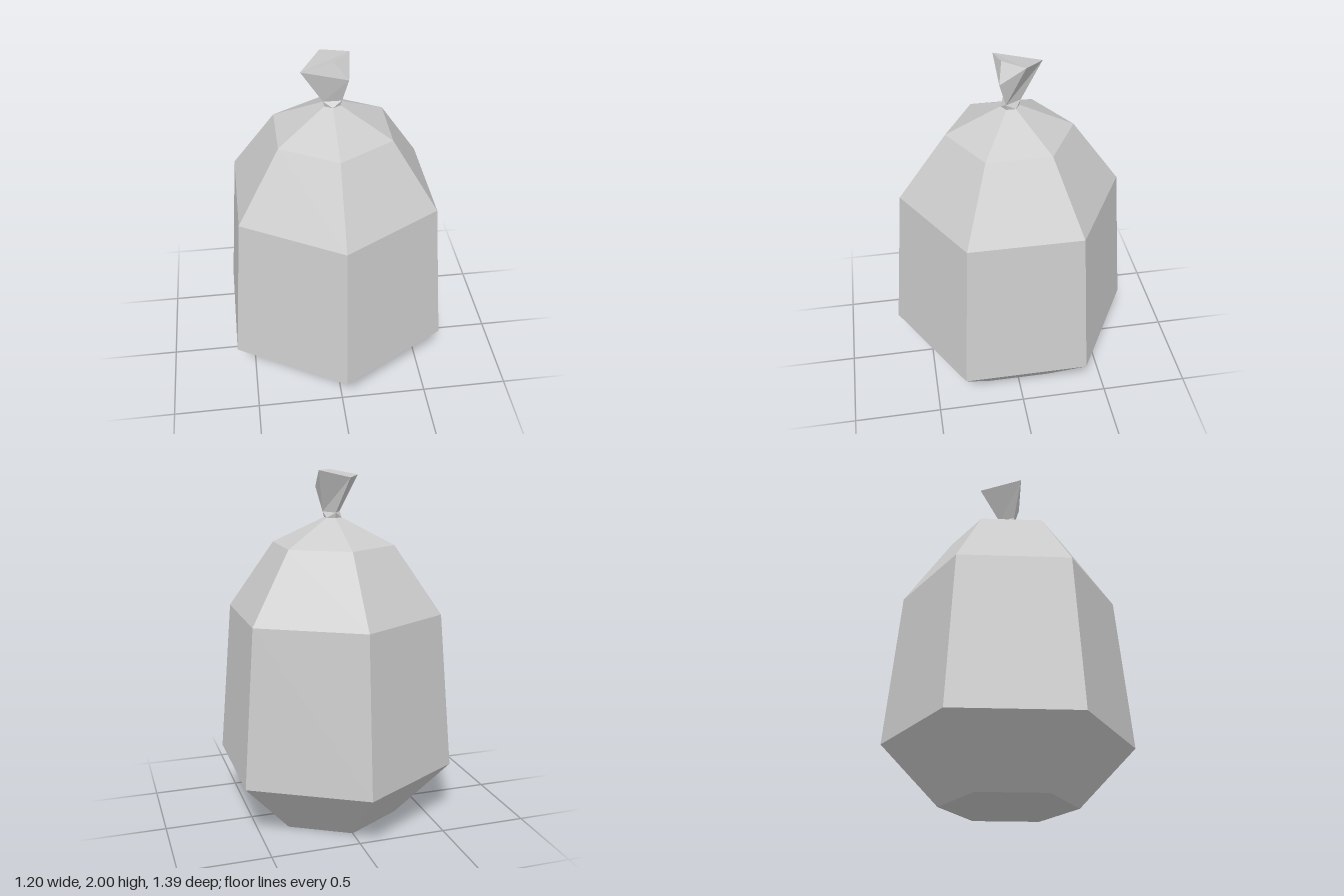
import * as THREE from 'three';

const material = new THREE.MeshStandardMaterial({ color: 0xcccccc, flatShading: true, side: THREE.DoubleSide });

function addPart(group, name, geometry) {
  const mesh = new THREE.Mesh(geometry, material);
  mesh.name = name;
  group.add(mesh);
}

// Faceted geometry from corner points and convex faces (counter-clockwise from outside)
function facetGeometry(points, faces) {
  const positions = [];
  for (const face of faces) {
    for (let i = 1; i < face.length - 1; i++) {
      positions.push(...points[face[0]], ...points[face[i]], ...points[face[i + 1]]);
    }
  }
  const geometry = new THREE.BufferGeometry();
  geometry.setAttribute('position', new THREE.Float32BufferAttribute(positions, 3));
  geometry.computeVertexNormals();
  return geometry;
}

export function createModel() {
  const group = new THREE.Group();
  group.name = 'tiedSack';

  // Six-sided body, closed underneath
  const profile = [[0, 0], [0.375, 0], [0.693, 0.335], [0.615, 1.217], [0.347, 1.595], [0.05, 1.74]]
    .map(([r, y]) => new THREE.Vector2(r, y));
  addPart(group, 'sackBody', new THREE.LatheGeometry(profile, 6));

  // Neck: hexagon below, pinched to a triangle above
  const neckPoints = [];
  for (const [y, even, odd] of [[1.74, 0.05, 0.05], [1.77, 0.0285, 0.057]]) {
    for (let i = 0; i < 6; i++) {
      const angle = i * Math.PI / 3, r = i % 2 ? odd : even;
      neckPoints.push([r * Math.sin(angle), y, r * Math.cos(angle)]);
    }
  }
  const neckFaces = [];
  for (let i = 0; i < 6; i++) {
    const j = (i + 1) % 6;
    // Diagonals run so that each triangle corner fans out
    neckFaces.push(...(i % 2 ? [[i, j, i + 6], [j, j + 6, i + 6]] : [[i, j, j + 6], [i, j + 6, i + 6]]));
  }
  addPart(group, 'neck', facetGeometry(neckPoints, neckFaces));

  // Gathered, lopsided end above the tie
  const tuft = {
    a: [-0.05, 1.77, 0.029], b: [0, 1.77, -0.057], c: [0.05, 1.77, 0.029],
    A: [-0.168, 1.965, 0.065], B: [-0.043, 1.965, -0.178], C: [0.1, 2, -0.067],
    D: [0.08, 1.905, 0.067], E: [0.003, 2, 0.045],
  };
  addPart(group, 'gatheredTop', facetGeometry(tuft,
    ['acDA', 'cCD', 'cbBC', 'baAB', 'ADE', 'DCE', 'AECB']));

  return group;
}
